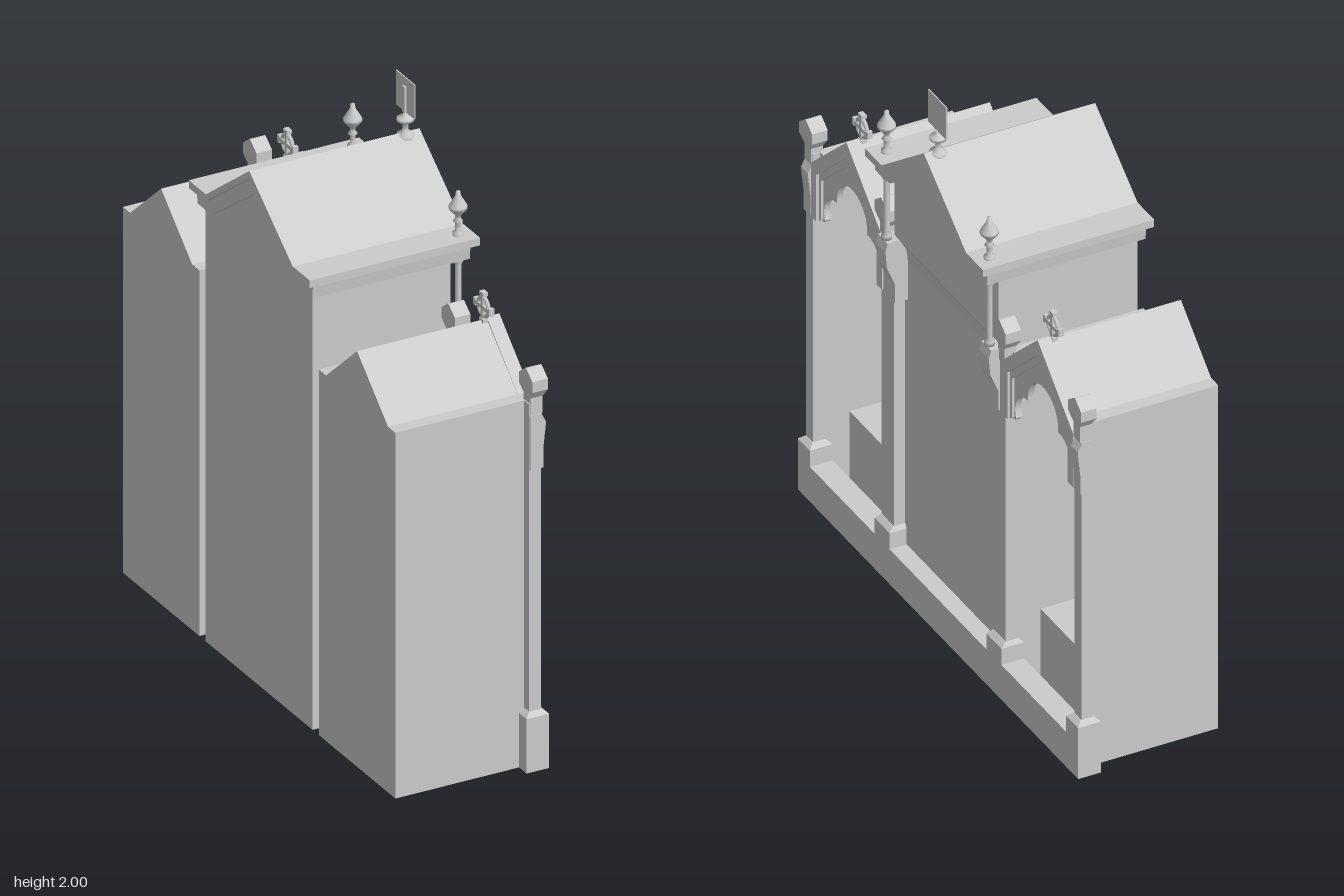
import * as THREE from 'three';

const material = new THREE.MeshStandardMaterial({ color: 0xcccccc, side: THREE.DoubleSide });

function add(parent, name, geometry) {
  const mesh = new THREE.Mesh(geometry, material);
  mesh.name = name;
  parent.add(mesh);
  return mesh;
}

function box(parent, name, x0, x1, y0, y1, z0, z1) {
  const mesh = add(parent, name, new THREE.BoxGeometry(x1 - x0, y1 - y0, Math.abs(z1 - z0)));
  mesh.position.set((x0 + x1) / 2, (y0 + y1) / 2, (z0 + z1) / 2);
  return mesh;
}

const polygon = (pts) => new THREE.Shape(pts.map(([a, b]) => new THREE.Vector2(a, b)));

// Mirror the right half of an outline (bottom to apex) into a closed loop
const mirrored = (half) => [
  ...half,
  ...half.slice().reverse().filter(([a]) => a !== 0).map(([a, b]) => [-a, b]),
];

// Strip between an outer and an inner half outline, both mirrored
const band = (outer, inner) => polygon([...mirrored(outer), ...mirrored(inner).reverse()]);

// Extrude an elevation outline along x, the facade direction
function alongX(parent, name, shape, x0, x1) {
  const g = new THREE.ExtrudeGeometry(shape, { depth: x1 - x0, bevelEnabled: false, curveSegments: 10 });
  g.rotateY(Math.PI / 2).translate(x0, 0, 0);
  return add(parent, name, g);
}

// Extrude a side outline (x, y) along z
function alongZ(parent, name, pts, z0, z1) {
  const g = new THREE.ExtrudeGeometry(polygon(pts), { depth: z1 - z0, bevelEnabled: false });
  g.translate(0, 0, z0);
  return add(parent, name, g);
}

function lathe(parent, name, pts, x, z) {
  const g = new THREE.LatheGeometry(pts.map(([r, y]) => new THREE.Vector2(r, y)), 12);
  const mesh = add(parent, name, g);
  mesh.position.set(x, 0, z);
  return mesh;
}

// Square frustum used for chamfered tops and pinnacle caps
function frustum(parent, name, x, z, y0, y1, w0, d0, w1, d1) {
  const g = new THREE.BoxGeometry(1, y1 - y0, 1);
  const p = g.attributes.position;
  for (let i = 0; i < p.count; i++) {
    const top = p.getY(i) > 0;
    p.setX(i, p.getX(i) * (top ? w1 : w0));
    p.setZ(i, p.getZ(i) * (top ? d1 : d0));
  }
  g.computeVertexNormals();
  add(parent, name, g).position.set(x, (y0 + y1) / 2, z);
}

function pinnacle(parent, z) {
  const g = new THREE.Group();
  g.name = 'pinnacle';
  parent.add(g);
  box(g, 'pinnacleNeck', 0.192, 0.235, 1.24, 1.31, z - 0.022, z + 0.022);
  frustum(g, 'pinnacleFlare', 0.215, z, 1.30, 1.33, 0.043, 0.044, 0.055, 0.086);
  box(g, 'pinnacleBlock', 0.1875, 0.2425, 1.33, 1.368, z - 0.043, z + 0.043);
  frustum(g, 'pinnacleCap', 0.215, z, 1.368, 1.398, 0.055, 0.086, 0.055, 0.006);
}

// Side booth, centred on its own z = 0
function booth() {
  const g = new THREE.Group();
  g.name = 'sideBooth';
  const shell = polygon(mirrored([[0.247, 0], [0.247, 1.28], [0.2, 1.28], [0, 1.455]]));
  shell.holes.push(polygon(mirrored([[0.234, 0.02], [0.234, 1.265], [0.195, 1.265], [0, 1.435]])));
  alongX(g, 'boothShell', shell, -0.26, 0.205);
  alongX(g, 'boothBack', polygon(mirrored([[0.247, 0], [0.247, 1.28], [0.2, 1.28], [0, 1.455]])), -0.27, -0.26);

  // Bench, shelf and its triangular brackets
  box(g, 'bench', -0.26, 0.1, 0.02, 0.28, -0.234, 0.234);
  box(g, 'shelf', -0.26, -0.03, 0.585, 0.6, -0.234, 0.234);
  for (const s of [-1, 1]) {
    const z = s * 0.228;
    alongZ(g, 'shelfBracket', [[-0.2, 0.585], [-0.2, 0.5], [-0.185, 0.5], [-0.04, 0.57], [-0.04, 0.585]], z - 0.008, z + 0.008);
  }

  // Trefoil arch in a gable
  const arch = polygon([[-0.235, 1.05], [-0.235, 1.24], [0, 1.45], [0.235, 1.24], [0.235, 1.05], [0.185, 1.05]]);
  arch.absarc(0.105, 1.09, 0.08, -0.4, Math.PI / 2, false);
  arch.absarc(0, 1.18, 0.1, -0.1, Math.PI + 0.1, false);
  arch.absarc(-0.105, 1.09, 0.08, Math.PI / 2, Math.PI + 0.4, false);
  arch.lineTo(-0.185, 1.05);
  alongX(g, 'trefoilArch', arch, 0.195, 0.216);
  alongX(g, 'gableMoulding', band(
    [[0.235, 1.05], [0.235, 1.25], [0, 1.462]],
    [[0.2, 1.05], [0.2, 1.225], [0, 1.405]]), 0.19, 0.236);
  alongX(g, 'gableInnerMoulding', band(
    [[0.2, 1.05], [0.2, 1.225], [0, 1.405]],
    [[0.188, 1.06], [0.188, 1.205], [0, 1.375]]), 0.195, 0.226);

  // Ringed cross on the gable
  const cross = new THREE.Group();
  cross.name = 'gableCross';
  cross.position.set(0.18, 1.5, 0);
  g.add(cross);
  add(cross, 'crossRing', new THREE.TorusGeometry(0.032, 0.007, 6, 20).rotateY(Math.PI / 2));
  for (let i = 0; i < 4; i++) {
    const arm = add(cross, 'crossArm', new THREE.BoxGeometry(0.016, 0.05, 0.014).translate(0, 0.025, 0));
    arm.rotation.x = i * Math.PI / 2;
    const tip = add(cross, 'crossTip', new THREE.BoxGeometry(0.018, 0.012, 0.026).translate(0, 0.046, 0));
    tip.rotation.x = i * Math.PI / 2;
  }
  box(g, 'crossStem', 0.17, 0.19, 1.43, 1.46, -0.01, 0.01);
  return g;
}

export function createModel() {
  const model = new THREE.Group();
  model.name = 'confessional';

  // Central body: recessed panel, cove and projecting gabled upper wall
  const centre = new THREE.Group();
  centre.name = 'centralBody';
  model.add(centre);
  alongZ(centre, 'centralPanel', [[-0.27, 0], [0.19, 0], [0.19, 1.19], [0.197, 1.24], [0.22, 1.28], [0.22, 1.53], [-0.27, 1.53]], -0.345, 0.345);
  alongX(centre, 'tympanum', polygon(mirrored([[0.345, 1.525], [0.3, 1.56], [0, 1.76]])), -0.27, 0.22);
  alongX(centre, 'cornice', band(
    [[0.37, 1.525], [0.375, 1.575], [0.28, 1.58], [0, 1.785]],
    [[0.31, 1.525], [0.27, 1.532], [0, 1.725]]), -0.285, 0.275);
  alongX(centre, 'roof', band(
    [[0.39, 1.575], [0.39, 1.602], [0.28, 1.602], [0, 1.81]],
    [[0.33, 1.575], [0.285, 1.575], [0, 1.785]]), -0.305, 0.3);

  // Plinth bar across the facade
  box(model, 'plinth', 0.17, 0.25, 0, 0.13, -0.925, 0.925);

  for (const s of [-1, 1]) {
    const side = booth();
    side.position.z = s * 0.632;
    model.add(side);

    // Pillars on pedestals: [centre z, pillar width, pedestal width]
    for (const [z, w, pw] of [[0.37, 0.08, 0.1], [0.8875, 0.046, 0.08]]) {
      const zc = s * z;
      box(model, 'pedestal', 0.17, 0.25, 0, 0.19, zc - pw / 2, zc + pw / 2);
      frustum(model, 'pedestalTop', 0.21, zc, 0.19, 0.205, 0.08, pw, 0.045, w);
      box(model, 'pillar', 0.188, 0.23, 0.2, 1.28, zc - w / 2, zc + w / 2);
    }

    // Corbels and pinnacles
    alongZ(model, 'colonnetteCorbel', [[0.19, 1.05], [0.236, 1.05], [0.236, 1.12], [0.265, 1.19], [0.27, 1.25], [0.262, 1.28], [0.19, 1.28]], s * 0.342 - 0.032, s * 0.342 + 0.032);
    alongZ(model, 'outerCorbel', [[0.19, 1.05], [0.236, 1.05], [0.236, 1.12], [0.245, 1.2], [0.245, 1.21], [0.23, 1.24], [0.19, 1.24]], s * 0.8925 - 0.023, s * 0.8925 + 0.023);
    pinnacle(model, s * 0.39);
    pinnacle(model, s * 0.89);

    // Slender colonnette and finial above the cornice
    lathe(model, 'colonnette', [[0, 1.28], [0.017, 1.28], [0.017, 1.295], [0.01, 1.305], [0.01, 1.5], [0.016, 1.51], [0.016, 1.53], [0, 1.53]], 0.25, s * 0.34);
    lathe(model, 'cornerFinial', [[0.018, 1.6], [0.018, 1.612], [0.009, 1.62], [0.009, 1.645], [0.016, 1.652], [0.009, 1.66], [0.009, 1.672], [0.03, 1.695], [0.03, 1.705], [0.009, 1.74], [0.007, 1.755], [0, 1.757]], 0.25, s * 0.34);
  }

  // Crowning finial with its square plate
  lathe(model, 'crownFinial', [[0.028, 1.79], [0.028, 1.805], [0.01, 1.815], [0.009, 1.84], [0.028, 1.85], [0.028, 1.86], [0.008, 1.868], [0.006, 1.885], [0, 1.885]], 0.25, 0);
  box(model, 'crownPlate', 0.249, 0.253, 1.88, 2, -0.06, 0.06);
  box(model, 'plateBrace', 0.242, 0.249, 1.88, 1.97, -0.008, 0.008);
  return model;
}
